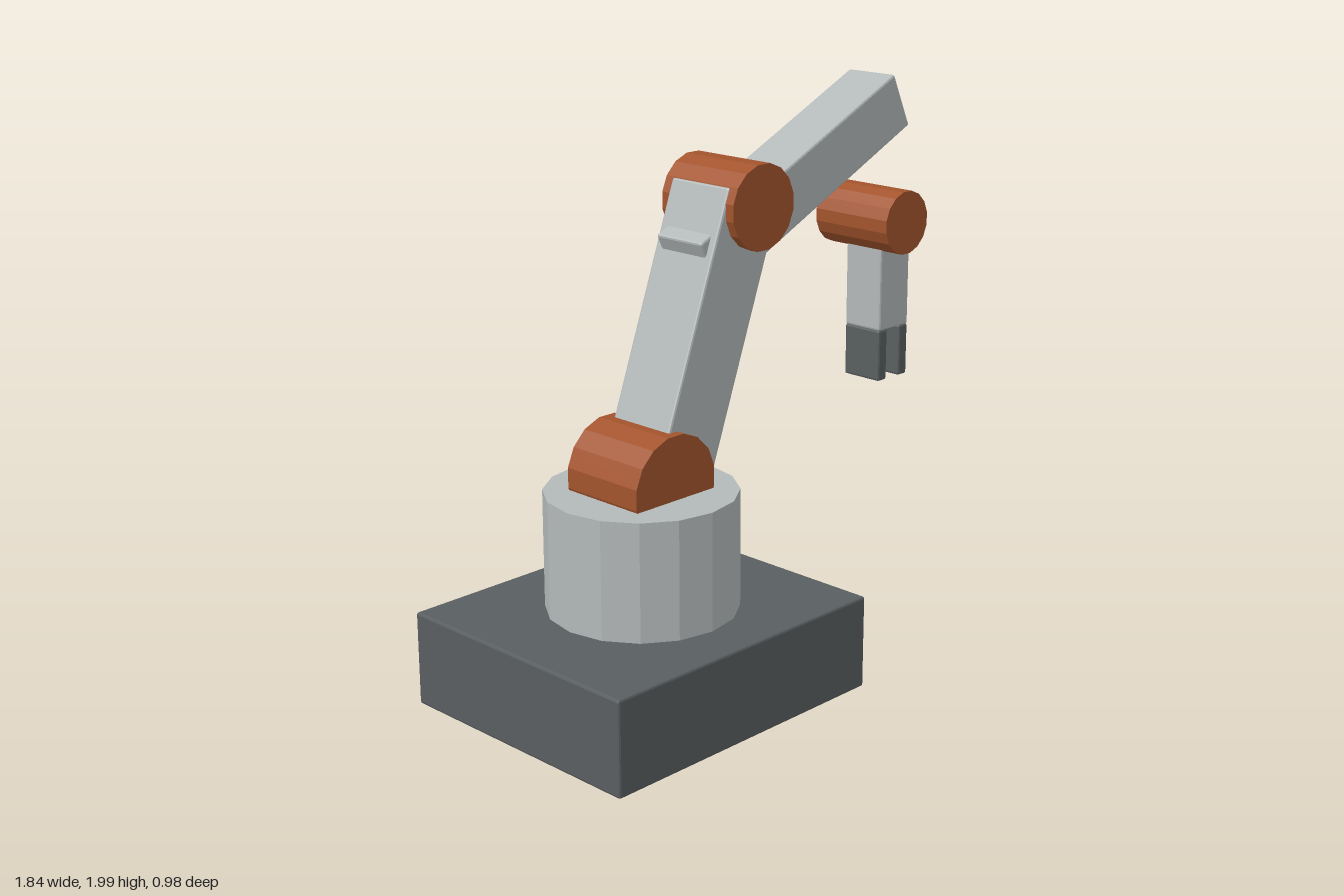
import * as THREE from 'three';
import { RoundedBoxGeometry } from 'three/addons/geometries/RoundedBoxGeometry.js';

const mat = (name, color, flatShading = false) => {
  const m = new THREE.MeshStandardMaterial({ color, flatShading });
  m.name = name;
  return m;
};

export function createModel() {
  const arm = new THREE.Group();
  arm.name = 'roboticArm';

  const darkSteel = mat('darkSteel', 0x595e60, true);
  const lightSteel = mat('lightSteel', 0xb3b8b8, true);
  const rust = mat('rustOrange', 0xa3542d, true);

  // Box with a fine bevel, tilted in the xy plane
  function bar(name, material, size, pos, tilt = 0) {
    const mesh = new THREE.Mesh(new RoundedBoxGeometry(...size, 1, 0.008), material);
    mesh.name = name;
    mesh.position.set(...pos);
    mesh.rotation.z = THREE.MathUtils.degToRad(tilt);
    arm.add(mesh);
  }

  // Hinge drum lying along z, with flats at the top and sides
  function joint(name, radius, x, y) {
    const geo = new THREE.CylinderGeometry(radius, radius, 0.325, 16);
    geo.rotateY(Math.PI / 16).rotateX(Math.PI / 2);
    const mesh = new THREE.Mesh(geo, rust);
    mesh.name = name;
    mesh.position.set(x, y, 0);
    arm.add(mesh);
  }

  // Pedestal and turntable
  bar('base', darkSteel, [1.145, 0.33, 0.98], [-0.35, 0.165, 0]);
  const turret = new THREE.Mesh(new THREE.CylinderGeometry(0.327, 0.327, 0.42, 16), lightSteel);
  turret.name = 'turntable';
  turret.position.set(-0.35, 0.53, 0);
  arm.add(turret);

  // Hinges
  joint('shoulderJoint', 0.18, -0.35, 0.783);
  joint('elbowJoint', 0.146, 0.058, 1.645);
  joint('wristJoint', 0.114, 0.798, 1.48);

  // Arm segments
  bar('lowerArm', lightSteel, [0.254, 1.05, 0.26], [-0.13, 1.188, 0], -20);
  bar('upperArm', lightSteel, [1.057, 0.206, 0.205], [0.349, 1.681, 0], 25);

  // Gripper
  bar('gripperPalm', lightSteel, [0.16, 0.405, 0.16], [0.84, 1.277, 0]);
  for (const side of [-1, 1]) {
    bar(side < 0 ? 'innerFinger' : 'outerFinger', darkSteel,
      [0.047, 0.19, 0.16], [0.84 + side * 0.0565, 0.982, 0]);
  }

  return arm;
}
